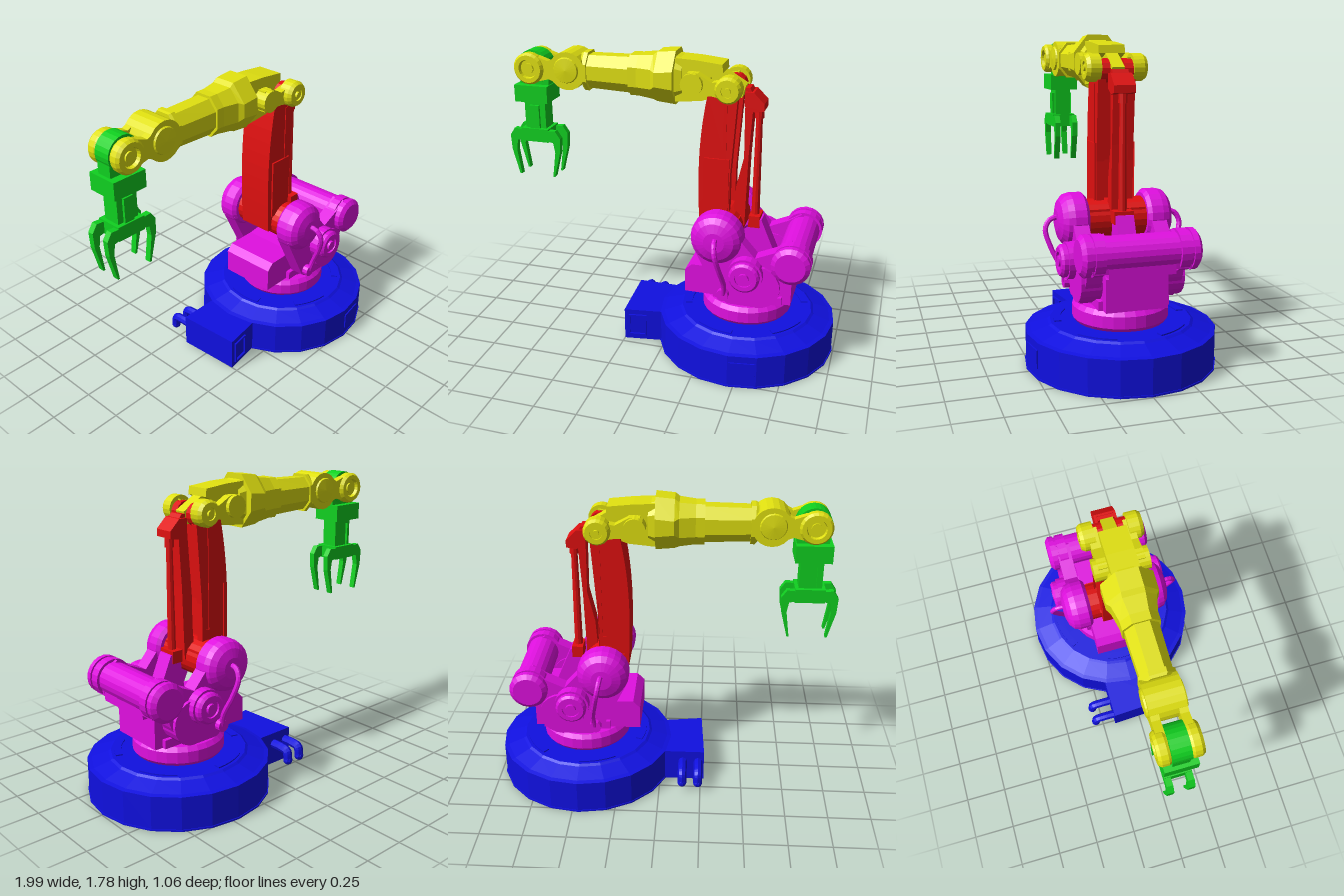
import * as THREE from 'three';

const mat = (color, side = THREE.FrontSide) => new THREE.MeshStandardMaterial({ color, flatShading: true, side });
const BLUE = mat(0x1010e0), MAGENTA = mat(0xe010e0), RED = mat(0xe01010), YELLOW = mat(0xe0e010), GREEN = mat(0x10d020);

function add(parent, name, geo, material) {
  const m = new THREE.Mesh(geo, material);
  m.name = name;
  parent.add(m);
  return m;
}
// Box from min/max corners
const box = (x0, x1, y0, y1, z0, z1) =>
  new THREE.BoxGeometry(x1 - x0, y1 - y0, z1 - z0).translate((x0 + x1) / 2, (y0 + y1) / 2, (z0 + z1) / 2);
// Drum lying along z
const drum = (x, y, r, z0, z1, n = 20) =>
  new THREE.CylinderGeometry(r, r, Math.abs(z1 - z0), n).rotateX(Math.PI / 2).translate(x, y, (z0 + z1) / 2);
// Turned cap along z, profile [radius, distance], s picks the side
const cap = (x, y, profile, s, n = 20) =>
  new THREE.LatheGeometry(profile.map(p => new THREE.Vector2(...p)), n).rotateX(s * Math.PI / 2).translate(x, y, 0);
// Flat plate in the x-y plane between two z values
function plate(pts, z0, z1, hole) {
  const shape = pts instanceof THREE.Shape ? pts : new THREE.Shape(pts.map(p => new THREE.Vector2(...p)));
  if (hole) shape.holes.push(new THREE.Path().absarc(...hole, 0, Math.PI * 2, true));
  return new THREE.ExtrudeGeometry(shape, { depth: Math.abs(z1 - z0), bevelEnabled: false, curveSegments: 10 })
    .translate(0, 0, Math.min(z0, z1));
}
// Octagonal body along x; sections are [x, yLow, yHigh, halfWidth, chamferY, chamferZ]
function octLoft(sections) {
  const pos = [], idx = [];
  for (const [x, lo, hi, w, cy, cz] of sections) {
    for (const [y, z] of [[hi, -w + cz], [hi, w - cz], [hi - cy, w], [lo + cy, w],
      [lo, w - cz], [lo, -w + cz], [lo + cy, -w], [hi - cy, -w]]) pos.push(x, y, z);
  }
  const last = (sections.length - 1) * 8;
  for (let i = 0; i < last; i += 8) {
    for (let k = 0; k < 8; k++) {
      const a = i + k, b = i + (k + 1) % 8;
      idx.push(a, b, b + 8, a, b + 8, a + 8);
    }
  }
  for (let k = 1; k < 7; k++) idx.push(0, k + 1, k, last, last + k, last + k + 1);
  const g = new THREE.BufferGeometry();
  g.setAttribute('position', new THREE.Float32BufferAttribute(pos, 3));
  g.setIndex(idx);
  g.computeVertexNormals();
  return g;
}
const tube = (pts, r) => new THREE.TubeGeometry(
  new THREE.CatmullRomCurve3(pts.map(p => new THREE.Vector3(...p))), 20, r, 8);
const lathe = (profile, n) => new THREE.LatheGeometry(profile.map(p => new THREE.Vector2(...p)), n).translate(0.465, 0, 0);

function buildBase(g) {
  add(g, 'basePlinth', lathe([[0, 0], [0.53, 0], [0.53, 0.01], [0.525, 0.01], [0.525, 0.2], [0.5, 0.205],
    [0.405, 0.235], [0.39, 0.245], [0, 0.245]], 20), BLUE);
  // raised arcs on the deck and an access panel on the wall
  for (let i = 0; i < 5; i++) {
    const a = i * Math.PI * 0.4 + 0.3, s = new THREE.Shape();
    s.absarc(0, 0, 0.37, a, a + 0.6, false);
    s.absarc(0, 0, 0.33, a + 0.6, a, true);
    add(g, 'deckArc', new THREE.ExtrudeGeometry(s, { depth: 0.012, bevelEnabled: false })
      .rotateX(-Math.PI / 2).translate(0.465, 0.24, 0), BLUE);
  }
  add(g, 'accessPanel', new THREE.BoxGeometry(0.15, 0.1, 0.02).translate(0, 0.11, 0.516)
    .rotateY(Math.PI / 20).translate(0.465, 0, 0), BLUE);
  // connection box with framed front and two bent hoses
  const s = new THREE.Shape([[-0.27, 0.17], [0.02, 0.17], [0.02, -0.17], [-0.24, -0.21], [-0.25, -0.21]]
    .map(p => new THREE.Vector2(...p)));
  add(g, 'connectionBox', new THREE.ExtrudeGeometry(s, { depth: 0.2, bevelEnabled: false }).rotateX(-Math.PI / 2), BLUE);
  for (const [a, b, c, d] of [[-0.225, -0.115, 0.16, 0.17], [-0.225, -0.115, 0.03, 0.04],
    [-0.225, -0.215, 0.03, 0.17], [-0.125, -0.115, 0.03, 0.17]])
    add(g, 'boxFrame', new THREE.BoxGeometry(b - a, d - c, 0.02)
      .rotateY(0.15).translate((a + b) / 2, (c + d) / 2, 0.175 - (a + b) / 2 * 0.15), BLUE);
  for (const x of [-0.235, -0.14]) {
    add(g, 'supplyHose', tube([[x, 0.13, -0.15], [x, 0.13, -0.24], [x, 0.12, -0.285], [x, 0.07, -0.295]], 0.027), BLUE);
    add(g, 'hoseEnd', new THREE.SphereGeometry(0.028, 10, 8).translate(x, 0.065, -0.295), BLUE);
  }
}

function buildShoulder(g) {
  add(g, 'turntable', lathe([[0, 0.245], [0.25, 0.245], [0.265, 0.265], [0.265, 0.33], [0.245, 0.355],
    [0.2, 0.355], [0.2, 0.375], [0, 0.375]], 28), MAGENTA);
  add(g, 'carriage', plate([[0.12, 0.37], [0.75, 0.37], [0.75, 0.55], [0.72, 0.57], [0.5, 0.57], [0.34, 0.55],
    [0.16, 0.55], [0.12, 0.51]], -0.17, 0.17), MAGENTA);
  add(g, 'carriageFoot', box(0.3, 0.7, 0.37, 0.42, -0.195, 0.195), MAGENTA);
  // lever driving the rear rod
  add(g, 'lever', plate([[0.44, 0.54], [0.6, 0.54], [0.63, 0.62], [0.54, 0.83], [0.48, 0.83]], -0.05, 0.05), MAGENTA);
  add(g, 'counterweight', drum(0.755, 0.685, 0.095, -0.22, 0.22), MAGENTA);
  add(g, 'counterweightRib', box(0.7, 0.83, 0.575, 0.66, -0.18, 0.18), MAGENTA);
  for (const s of [1, -1]) {
    add(g, 'shoulderMotor', cap(0.325, 0.78, [[0, 0.165], [0.13, 0.165], [0.15, 0.185], [0.15, 0.25], [0.14, 0.285],
      [0.11, 0.31], [0.06, 0.325], [0, 0.328]], s, 24), MAGENTA);
    add(g, 'sidePlate', plate([[0.19, 0.72], [0.34, 0.42], [0.4, 0.38], [0.58, 0.38], [0.66, 0.43], [0.71, 0.52],
      [0.73, 0.58], [0.83, 0.6], [0.84, 0.72], [0.74, 0.79], [0.66, 0.74], [0.55, 0.69], [0.47, 0.78], [0.32, 0.8]],
    s * 0.18, s * 0.265), MAGENTA);
    add(g, 'gearDrum', drum(0.57, 0.52, 0.13, s * 0.17, s * 0.285), MAGENTA);
    add(g, 'pivotHub', cap(0.505, 0.6, [[0.1, 0.2], [0.1, 0.32], [0.088, 0.32], [0.088, 0.345], [0.075, 0.358],
      [0.05, 0.358], [0.05, 0.345], [0.03, 0.345], [0.03, 0.362], [0, 0.362]], s), MAGENTA);
    add(g, 'counterweightEnd', cap(0.755, 0.685, [[0, 0.2], [0.11, 0.2], [0.11, 0.255], [0.1, 0.255], [0.1, 0.27],
      [0.11, 0.27], [0.11, 0.3], [0.085, 0.32], [0, 0.32]], s), MAGENTA);
    add(g, 'hoseKnob', drum(0.375, 0.445, 0.035, s * 0.17, s * 0.3, 12), MAGENTA);
    add(g, 'shoulderHose', tube([[0.33, 0.8, s * 0.3], [0.335, 0.79, s * 0.36], [0.345, 0.74, s * 0.39],
      [0.365, 0.64, s * 0.365], [0.385, 0.52, s * 0.31], [0.38, 0.45, s * 0.29]], 0.015), MAGENTA);
  }
}

function buildLowerArm(g) {
  const side = right => {
    const s = new THREE.Shape().moveTo(0.19, 0.74);
    s.bezierCurveTo(0.17, 1.05, 0.17, 1.3, 0.225, 1.57);
    s.lineTo(0.25, 1.6).lineTo(right + 0.02, 1.6).lineTo(right + 0.03, 1.54).lineTo(right, 1.1).lineTo(right, 0.74);
    return s;
  };
  add(g, 'armCore', plate(side(0.3), -0.08, 0.08), RED);
  add(g, 'armFoot', drum(0.325, 0.78, 0.11, -0.17, 0.17), RED);
  add(g, 'armFootBlock', box(0.25, 0.42, 0.76, 0.845, -0.16, 0.16), RED);
  for (const s of [1, -1]) {
    add(g, 'armRail', plate(side(0.36), s * 0.06, s * 0.105), RED);
    add(g, 'railPad', box(0.21, 0.355, 0.84, 1.2, s * 0.1, s * 0.115), RED);
    add(g, 'railStrip', box(0.315, 0.335, 0.95, 1.52, s * 0.1, s * 0.11), RED);
    add(g, 'elbowEar', drum(0.345, 1.59, 0.065, s * 0.04, s * 0.09, 14), RED);
  }
  // rear links: spine plate and push rod with clamps
  add(g, 'spineLink', plate([[0.42, 1.6], [0.445, 1.6], [0.47, 1.56], [0.45, 1.2], [0.44, 0.78], [0.37, 0.78],
    [0.385, 1.02], [0.425, 1.2]], -0.045, 0.045), RED);
  add(g, 'rodClamp', plate([[0.42, 1.58], [0.47, 1.58], [0.53, 1.52], [0.53, 1.48], [0.475, 1.47], [0.42, 1.5]],
    -0.06, 0.06), RED);
  add(g, 'pushRod', new THREE.CylinderGeometry(0.018, 0.024, 0.66, 10).translate(0.495, 1.16, 0), RED);
  add(g, 'rodSleeve', new THREE.CylinderGeometry(0.026, 0.026, 0.05, 10).translate(0.495, 1.45, 0), RED);
  add(g, 'rodFoot', box(0.465, 0.53, 0.78, 0.85, -0.055, 0.055), RED);
}

function buildForearm(g) {
  add(g, 'forearm', octLoft([[-0.53, 1.53, 1.73, 0.08, 0.05, 0.04], [-0.515, 1.515, 1.735, 0.095, 0.06, 0.05],
    [-0.49, 1.515, 1.735, 0.095, 0.06, 0.05], [-0.49, 1.53, 1.72, 0.085, 0.055, 0.045],
    [-0.24, 1.52, 1.725, 0.09, 0.06, 0.05], [-0.24, 1.51, 1.74, 0.1, 0.06, 0.05],
    [-0.19, 1.51, 1.74, 0.1, 0.06, 0.05], [-0.1, 1.5, 1.75, 0.12, 0.07, 0.06],
    [-0.075, 1.49, 1.77, 0.14, 0.1, 0.08], [0.03, 1.48, 1.78, 0.14, 0.1, 0.08],
    [0.03, 1.5, 1.75, 0.1, 0.06, 0.05], [0.07, 1.51, 1.74, 0.09, 0.06, 0.05]]), YELLOW);
  add(g, 'forearmTail', plate([[0.03, 1.745], [0.15, 1.74], [0.295, 1.725], [0.3, 1.68], [0.23, 1.65], [0.22, 1.53],
    [0.18, 1.515], [0.03, 1.5]], -0.075, 0.075), YELLOW);
  add(g, 'tailTongue', plate([[0.2, 1.68], [0.3, 1.68], [0.42, 1.61], [0.4, 1.54], [0.2, 1.55]], -0.035, 0.035), YELLOW);
  for (const s of [1, -1]) {
    add(g, 'elbowLink', plate([[0.11, 1.68], [0.17, 1.68], [0.25, 1.635], [0.36, 1.66], [0.36, 1.54], [0.25, 1.56],
      [0.17, 1.56], [0.11, 1.56]], s * 0.07, s * 0.125), YELLOW);
    add(g, 'linkBoss', drum(0.14, 1.62, 0.062, s * 0.06, s * 0.15, 16), YELLOW);
    add(g, 'elbowHub', cap(0.345, 1.605, [[0, 0.09], [0.075, 0.09], [0.075, 0.15], [0.062, 0.17], [0.035, 0.17],
      [0.035, 0.16], [0.018, 0.16], [0.018, 0.175], [0, 0.175]], s), YELLOW);
  }
  // wrist knuckle and fork
  add(g, 'wristKnuckle', drum(-0.605, 1.63, 0.11, -0.095, 0.095), YELLOW);
  add(g, 'wristNeck', box(-0.6, -0.52, 1.56, 1.7, -0.08, 0.08), YELLOW);
  for (const s of [1, -1]) {
    add(g, 'knuckleCap', cap(-0.61, 1.635, [[0, 0.09], [0.078, 0.09], [0.07, 0.105], [0, 0.112]], s), YELLOW);
    add(g, 'forkArm', plate([[-0.6, 1.71], [-0.68, 1.7], [-0.72, 1.68], [-0.78, 1.7], [-0.84, 1.71], [-0.84, 1.55],
      [-0.78, 1.56], [-0.72, 1.575], [-0.68, 1.56], [-0.6, 1.55]], s * 0.05, s * 0.095), YELLOW);
    add(g, 'forkRing', cap(-0.84, 1.63, [[0, 0.052], [0.085, 0.052], [0.092, 0.065], [0.092, 0.1], [0.08, 0.116],
      [0.055, 0.116], [0.05, 0.095], [0.03, 0.095], [0.03, 0.105], [0, 0.105]], s), YELLOW);
  }
}

function buildGripper(g) {
  add(g, 'gripperDisc', drum(-0.835, 1.63, 0.098, -0.05, 0.05, 24), GREEN);
  add(g, 'gripperNeck', box(-0.925, -0.745, 1.5, 1.63, -0.045, 0.045), GREEN);
  add(g, 'gripperBlock', box(-0.945, -0.74, 1.425, 1.525, -0.09, 0.09), GREEN);
  add(g, 'gripperStem', box(-0.905, -0.775, 1.2, 1.43, -0.05, 0.05), GREEN);
  add(g, 'gripperPalm', box(-0.925, -0.755, 1.18, 1.26, -0.075, 0.075), GREEN);
  for (const s of [1, -1]) add(g, 'stemRib', box(-0.87, -0.81, 1.25, 1.4, s * 0.045, s * 0.065), GREEN);
  // four fingers, mirrored about the stem
  const outline = [[0.07, 1.25], [0.13, 1.255], [0.16, 1.21], [0.155, 1.12], [0.115, 0.965], [0.103, 0.965],
    [0.125, 1.12], [0.115, 1.18], [0.07, 1.19]];
  for (const sx of [1, -1]) for (const sz of [1, -1])
    add(g, 'finger', plate(outline.map(([x, y]) => [-0.84 + sx * x, y]), sz * 0.04, sz * 0.075), GREEN);
}

export function createModel() {
  const model = new THREE.Group();
  model.name = 'roboticArm';
  for (const [name, build] of [['base', buildBase], ['shoulder', buildShoulder], ['lowerArm', buildLowerArm],
    ['forearmAssembly', buildForearm], ['gripper', buildGripper]]) {
    const g = new THREE.Group();
    g.name = name;
    build(g);
    model.add(g);
  }
  return model;
}
